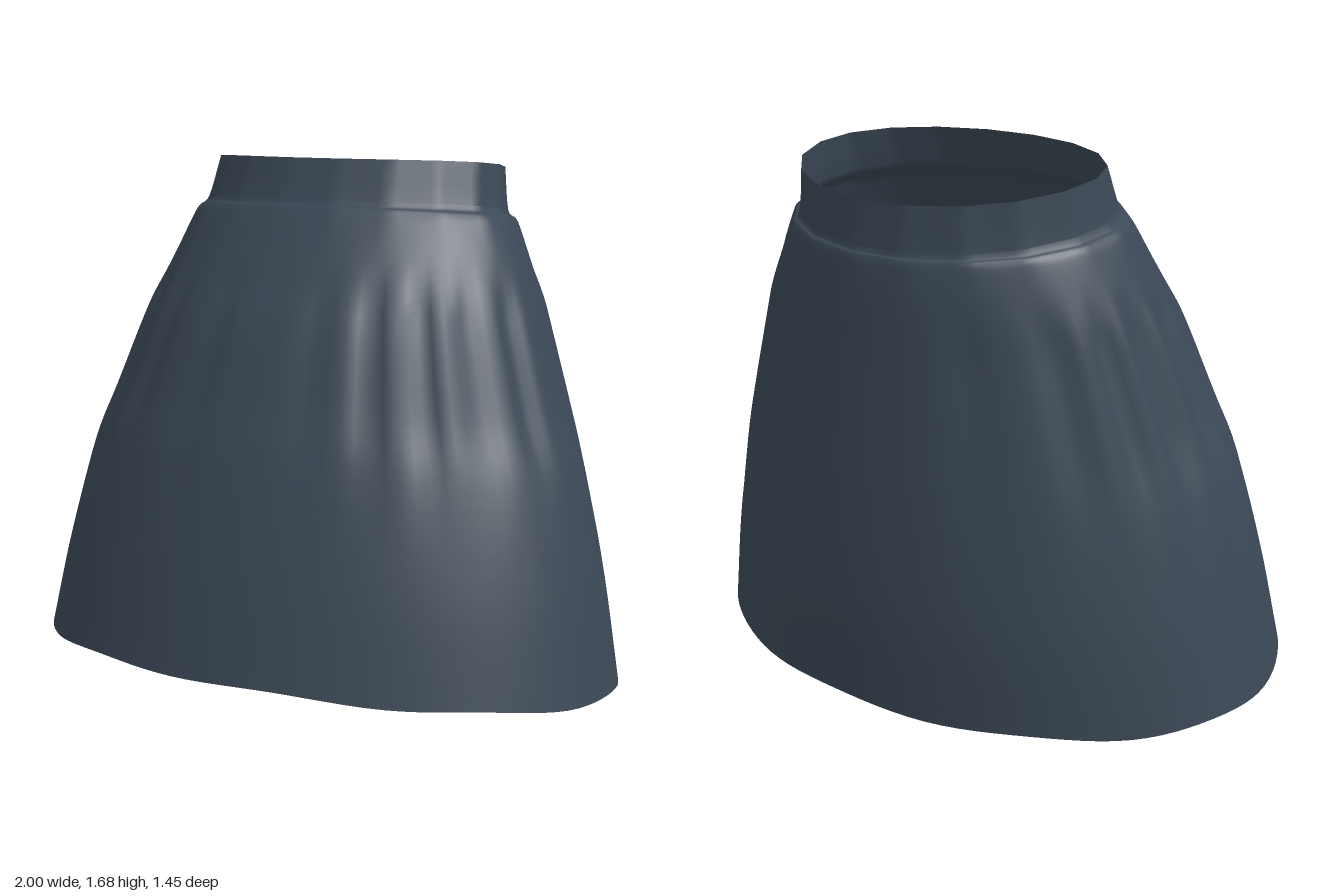
import * as THREE from 'three';

const SEGMENTS = 108;
const WAIST_SIDES = 18;

// Cross-sections from hem to waist:
// front z, front y, back z, back y, half width, side y, side z
const SECTIONS = [
  [0.727, 0.150, -0.704, 0.005, 1.000, 0.040, 0.00],
  [0.647, 0.460, -0.722, 0.330, 0.935, 0.370, -0.02],
  [0.550, 0.770, -0.712, 0.660, 0.855, 0.690, -0.05],
  [0.473, 0.960, -0.695, 0.930, 0.775, 0.900, -0.08],
  [0.384, 1.170, -0.680, 1.150, 0.695, 1.130, -0.12],
  [0.304, 1.310, -0.672, 1.300, 0.640, 1.280, -0.15],
  [0.200, 1.480, -0.664, 1.410, 0.570, 1.450, -0.19],
  [0.168, 1.530, -0.658, 1.445, 0.548, 1.490, -0.20],
  [0.148, 1.555, -0.645, 1.465, 0.518, 1.520, -0.21],
  [0.094, 1.680, -0.633, 1.600, 0.495, 1.655, -0.25],
];

// Gathered folds: angle in degrees from the front towards +x, depth, angular width
const FOLDS = [
  [12, 0.008, 3], [27, 0.014, 3], [40, 0.022, 3], [55, 0.020, 3], [72, 0.014, 4],
  [105, 0.016, 4], [119, 0.026, 3], [130, 0.026, 3], [141, 0.018, 3], [160, 0.008, 4],
  [205, 0.008, 4], [228, 0.014, 4], [244, 0.020, 3], [257, 0.024, 4], [272, 0.024, 4],
  [288, 0.022, 4], [304, 0.014, 4], [322, 0.010, 3], [343, 0.010, 3],
];

const interpolant = new THREE.CubicInterpolant(
  SECTIONS.map((_, i) => i), SECTIONS.flat(), 7, new Float32Array(7));

// Depth of the folds at an angle (radians) and section parameter
function foldDepth(angle, t) {
  const degrees = THREE.MathUtils.radToDeg(angle);
  const fade = THREE.MathUtils.smoothstep(t, 1.2, 3.2) * (1 - THREE.MathUtils.smoothstep(t, 4.3, 5.6));
  let depth = 0;
  for (const [center, amount, width] of FOLDS) {
    const d = ((degrees - center + 540) % 360 - 180) / width;
    depth += amount * (Math.exp(-d * d) - 0.35 * Math.exp(-((Math.abs(d) - 2) ** 2)));
  }
  return depth * fade;
}

// Point on one tilted oval section
function ovalPoint(s, angle, inset) {
  const c = Math.cos(angle), n = Math.sin(angle);
  const x = s[4] * n;
  const z = s[6] + (c > 0 ? s[0] - s[6] : s[6] - s[2]) * c;
  const y = s[5] + c * (s[1] - s[3]) / 2 + c * c * ((s[1] + s[3]) / 2 - s[5]);
  return new THREE.Vector3(x - n * inset, y, z - c * inset);
}

function surfacePoint(t, angle, inset = 0) {
  const s = Array.from(interpolant.evaluate(t));
  const round = ovalPoint(s, angle, inset + foldDepth(angle, t));
  // The yoke and waist change from a smooth oval to a faceted ring
  const facet = THREE.MathUtils.smoothstep(t, 5, 7);
  if (facet > 0) {
    const step = Math.PI * 2 / WAIST_SIDES;
    const k = Math.floor(angle / step + 0.5 + 1e-6) - 0.5;
    const a = ovalPoint(s, k * step, inset), b = ovalPoint(s, (k + 1) * step, inset);
    round.lerp(a.lerp(b, angle / step - k), facet);
  }
  // Slight waviness along the hem
  round.y += 0.005 * Math.sin(angle * 9) * Math.max(0, 1 - t);
  return round;
}

// Joins a list of [parameter, inset, lift] rings into a closed loft
function loft(rings) {
  const positions = [], index = [];
  rings.forEach(([t, inset, lift], j) => {
    for (let i = 0; i < SEGMENTS; i++) {
      const p = surfacePoint(t, i / SEGMENTS * Math.PI * 2, inset);
      positions.push(p.x, p.y + lift, p.z);
      if (j === rings.length - 1) continue;
      const a = j * SEGMENTS + i, b = j * SEGMENTS + (i + 1) % SEGMENTS;
      index.push(a, b, b + SEGMENTS, a, b + SEGMENTS, a + SEGMENTS);
    }
  });
  const geometry = new THREE.BufferGeometry();
  geometry.setAttribute('position', new THREE.Float32BufferAttribute(positions, 3));
  geometry.setIndex(index);
  geometry.computeVertexNormals();
  return geometry;
}

function ringRange(from, to, count) {
  return Array.from({ length: count + 1 }, (_, i) => [from + (to - from) * i / count, 0, 0]);
}

export function createModel() {
  const group = new THREE.Group();
  group.name = 'skirt';
  const fabric = new THREE.MeshStandardMaterial({ color: 0x3b4856, side: THREE.DoubleSide });
  fabric.name = 'slate blue fabric';

  const add = (name, rings) => {
    const mesh = new THREE.Mesh(loft(rings), fabric);
    mesh.name = name;
    group.add(mesh);
  };

  // Flared body with gathered folds
  add('skirtBody', ringRange(0, 8, 40));
  // Fitted waistband
  add('waistband', ringRange(8, 9, 4));
  // Narrow turned-up edge inside the hem
  add('hemFold', [[0, 0.022, 0.03], [0, 0.012, 0.004], [0, 0, 0]]);

  return group;
}
